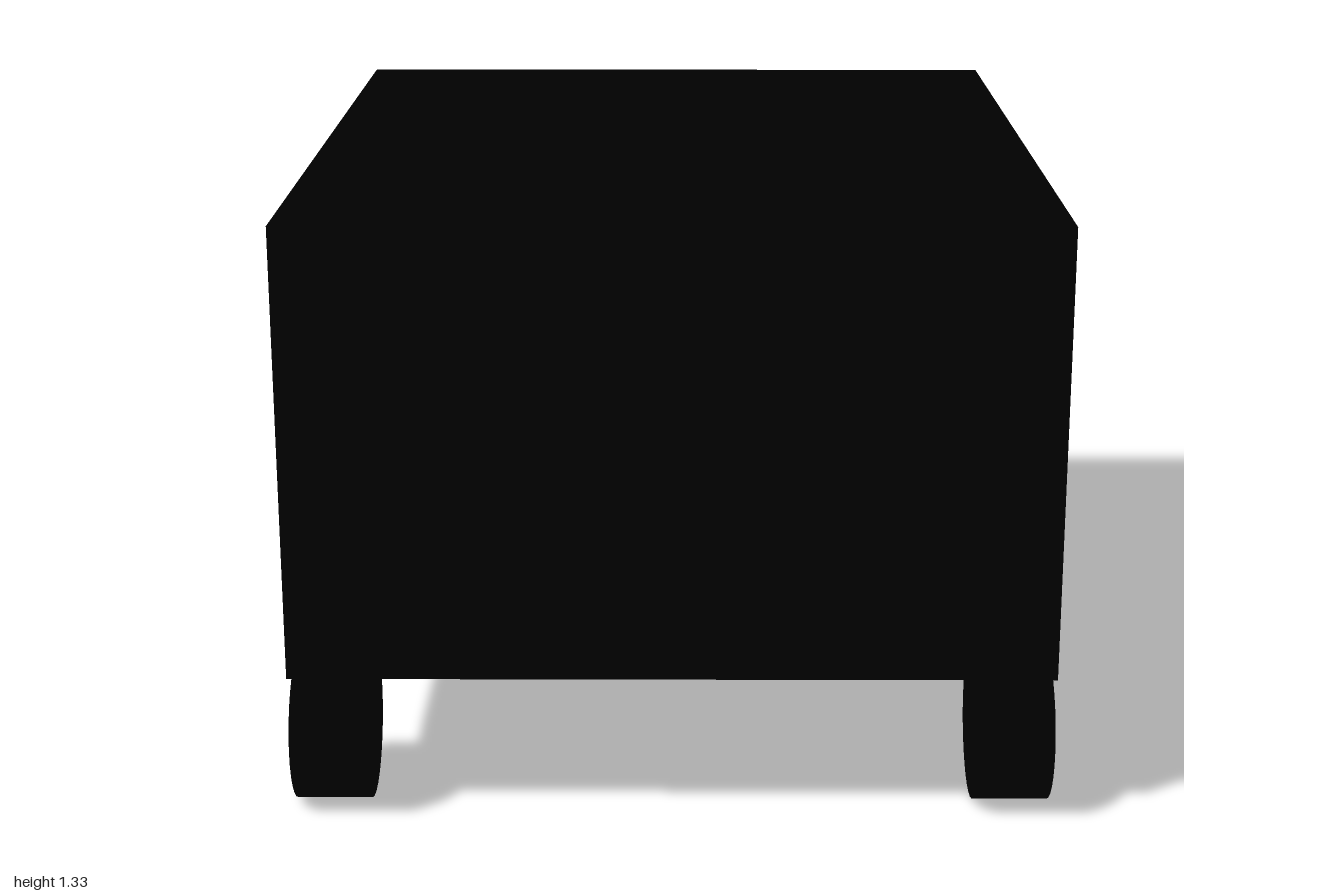
import * as THREE from 'three';

export function createModel() {
  const group = new THREE.Group();
  const black = new THREE.MeshStandardMaterial({ color: 0x000000 });

  // Box-shaped body
  const body = new THREE.Mesh(new THREE.BoxGeometry(1.66, 0.996, 1.992), black);
  body.name = 'body';
  body.position.set(0, 0.832, -0.004);
  group.add(body);

  // Four wheels under the corners, flush with the sides
  const radius = 0.166, width = 0.166;
  const wheelGeometry = new THREE.CylinderGeometry(radius, radius, width, 32).rotateZ(Math.PI / 2);
  for (const [sideName, side] of [['Left', 1], ['Right', -1]]) {
    for (const [endName, z] of [['front', 0.834], ['back', -0.826]]) {
      const wheel = new THREE.Mesh(wheelGeometry, black);
      wheel.name = `${endName}${sideName}Wheel`;
      wheel.position.set(side * (0.83 - width / 2), radius, z);
      group.add(wheel);
    }
  }

  return group;
}
